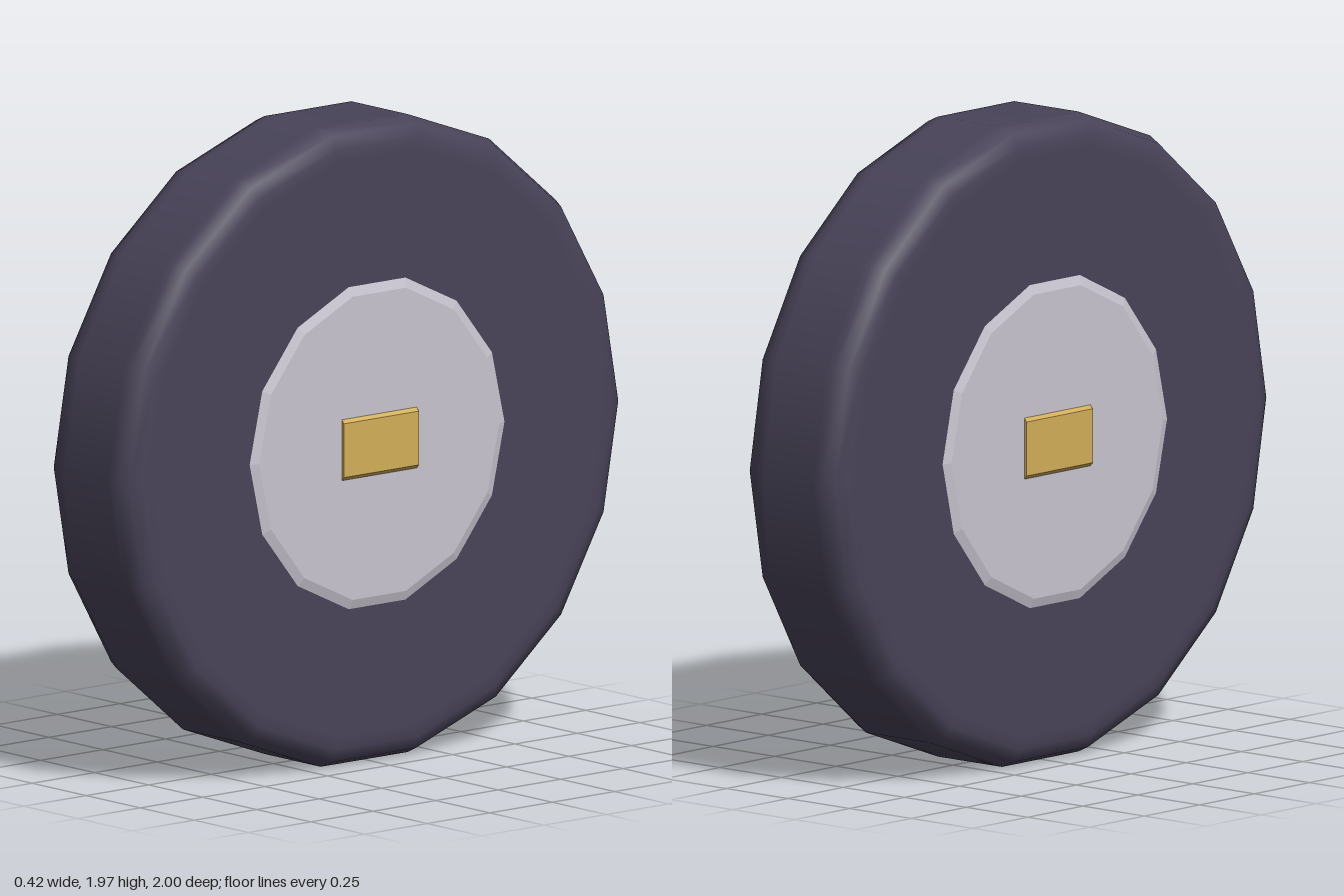
import * as THREE from 'three';

const CENTER_Y = 0.985;

// Closed solid of revolution around the x axis; half profile is [radius, x] from outer face to middle
function wheelSolid(half, sides) {
  const mirrored = half.map(([r, x]) => new THREE.Vector2(r, -x));
  const rest = [...half].reverse().map(([r, x]) => new THREE.Vector2(r, x));
  const geometry = new THREE.LatheGeometry([...mirrored, ...rest], sides);
  geometry.rotateZ(-Math.PI / 2);
  return geometry;
}

export function createModel() {
  const rubber = new THREE.MeshStandardMaterial({ color: 0x484358 });
  rubber.name = 'dark rubber';
  const metal = new THREE.MeshStandardMaterial({ color: 0xc8c4d0 });
  metal.name = 'light metal';
  const brass = new THREE.MeshStandardMaterial({ color: 0xd2ae57 });
  brass.name = 'brass';

  const wheel = new THREE.Group();
  wheel.name = 'wheel';
  const add = (name, geometry, material) => {
    const mesh = new THREE.Mesh(geometry, material);
    mesh.name = name;
    mesh.position.y = CENTER_Y;
    wheel.add(mesh);
  };

  // Tyre: eighteen sides with softly rounded shoulders
  add('tyre', wheelSolid(
    [[0, 0.19], [0.9, 0.19], [0.94, 0.19], [0.98, 0.173], [1, 0.13], [1, 0.1]], 18), rubber);

  // Hub: fourteen sides with a crisp bevel, standing just proud of the tyre on both sides
  const hub = wheelSolid([[0, 0.2], [0.48, 0.2], [0.51, 0.19], [0.51, 0.17]], 14).toNonIndexed();
  hub.computeVertexNormals();
  add('hub', hub, metal);

  // Axle key: a flat bar through the hub with bevelled long edges
  const section = new THREE.Shape([
    [-0.21, -0.083], [-0.2, -0.094], [0.2, -0.094], [0.21, -0.083],
    [0.21, 0.083], [0.2, 0.094], [-0.2, 0.094], [-0.21, 0.083],
  ].map(([x, y]) => new THREE.Vector2(x, y)));
  const key = new THREE.ExtrudeGeometry(section, { depth: 0.3, bevelEnabled: false });
  key.translate(0, 0, -0.15);
  add('axleKey', key, brass);

  return wheel;
}
